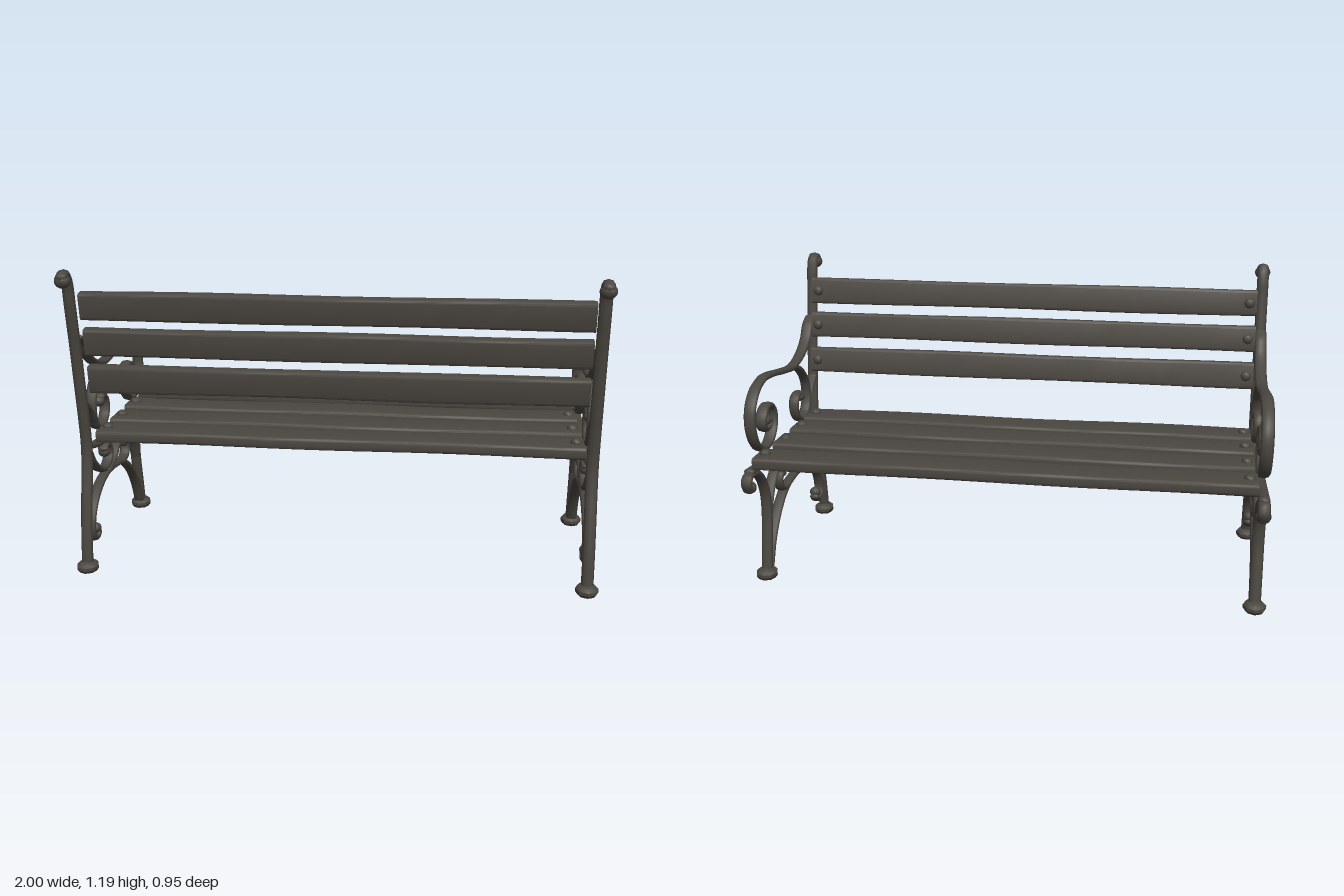
import * as THREE from 'three';
import { toCreasedNormals } from 'three/addons/utils/BufferGeometryUtils.js';

const darkIron = new THREE.MeshStandardMaterial({ color: 0x4a4640 });
darkIron.name = 'dark iron';

function add(parent, name, geometry, x = 0, y = 0, z = 0) {
  const mesh = new THREE.Mesh(geometry, darkIron);
  mesh.name = name;
  mesh.position.set(x, y, z);
  parent.add(mesh);
  return mesh;
}

// Oval iron bar along [z, y] points, wider in x, with rounded ends
function bar(parent, name, points, radius = 0.0125, width = 0.044, segments = points.length * 6) {
  const curve = new THREE.CatmullRomCurve3(points.map(([z, y]) => new THREE.Vector3(0, y, z)));
  const stretch = width / 2 / radius;
  add(parent, name, new THREE.TubeGeometry(curve, segments, radius, 8).scale(stretch, 1, 1));
  for (const [z, y] of [points[0], points[points.length - 1]]) {
    add(parent, name + 'End', new THREE.SphereGeometry(radius, 8, 6).scale(stretch, 1, 1), 0, y, z);
  }
}

// Bar whose last stretch curls round a solid eye
function scroll(parent, name, points, eye, eyeRadius = 0.022, radius, width) {
  bar(parent, name, points, radius, width);
  add(parent, name + 'Eye', new THREE.SphereGeometry(eyeRadius, 10, 8).scale(1.15, 1, 1), 0, eye[1], eye[0]);
}

// Flared eight-sided foot
function foot(parent, name, z) {
  const profile = [[0, 0], [0.038, 0], [0.047, 0.012], [0.047, 0.024], [0.034, 0.036], [0, 0.042]]
    .map(([r, y]) => new THREE.Vector2(r, y));
  const geometry = toCreasedNormals(new THREE.LatheGeometry(profile, 8), 0.6);
  add(parent, name, geometry.scale(0.92, 1, 1), 0, 0.005, z);
}

function sideFrame(x) {
  const g = new THREE.Group();
  g.name = x > 0 ? 'leftFrame' : 'rightFrame';
  g.position.x = x;

  // Rear post from foot to curled top
  scroll(g, 'rearPost', [[0.385, 0.03], [0.372, 0.15], [0.347, 0.29], [0.325, 0.39], [0.313, 0.49], [0.322, 0.6],
    [0.343, 0.75], [0.362, 0.89], [0.38, 1.0], [0.391, 1.07], [0.398, 1.12], [0.412, 1.16], [0.433, 1.177], [0.457, 1.167]],
  [0.447, 1.153], 0.027, 0.017, 0.046);
  foot(g, 'rearFoot', 0.383);

  // Front leg and curl under the seat edge
  scroll(g, 'frontLeg', [[-0.328, 0.03], [-0.307, 0.15], [-0.288, 0.27], [-0.293, 0.35], [-0.322, 0.415], [-0.37, 0.46],
    [-0.42, 0.475], [-0.455, 0.468], [-0.464, 0.445], [-0.452, 0.422]], [-0.44, 0.428], 0.025, 0.0145, 0.046);
  foot(g, 'frontFoot', -0.33);

  bar(g, 'seatRail', [[0.313, 0.49], [0.21, 0.468], [0.02, 0.459], [-0.17, 0.468], [-0.36, 0.48], [-0.43, 0.486]], 0.014);

  // Arch between the legs
  scroll(g, 'lowerArch', [[-0.307, 0.04], [-0.26, 0.142], [-0.186, 0.231], [-0.092, 0.294], [0.02, 0.316], [0.114, 0.318],
    [0.209, 0.294], [0.281, 0.247], [0.319, 0.193], [0.327, 0.14], [0.308, 0.111], [0.278, 0.106], [0.262, 0.122]],
  [0.277, 0.14]);
  scroll(g, 'rearBrace', [[0.313, 0.478], [0.272, 0.42], [0.209, 0.367], [0.145, 0.342], [0.098, 0.351], [0.07, 0.38],
    [0.076, 0.418], [0.107, 0.434], [0.13, 0.421]], [0.118, 0.406]);
  bar(g, 'frontBrace', [[0.098, 0.322], [0.035, 0.342], [-0.02, 0.386], [-0.09, 0.42], [-0.155, 0.42],
    [-0.215, 0.381], [-0.257, 0.326], [-0.285, 0.26]]);
  scroll(g, 'braceCurl', [[-0.08, 0.3], [-0.125, 0.31], [-0.146, 0.342], [-0.139, 0.373], [-0.118, 0.385]], [-0.117, 0.376]);

  // Armrest sweeping forward into a spiral
  scroll(g, 'armrest', [[0.338, 0.925], [0.298, 0.9], [0.262, 0.848], [0.193, 0.8], [0.082, 0.77], [-0.044, 0.782],
    [-0.17, 0.801], [-0.25, 0.803], [-0.329, 0.775], [-0.379, 0.72], [-0.389, 0.648], [-0.36, 0.579], [-0.303, 0.538],
    [-0.234, 0.538], [-0.18, 0.585], [-0.166, 0.642], [-0.187, 0.68], [-0.234, 0.69], [-0.272, 0.665], [-0.281, 0.627],
    [-0.259, 0.604], [-0.23, 0.61], [-0.222, 0.635]], [-0.247, 0.639], 0.024, 0.0125, 0.048);
  scroll(g, 'armSupport', [[0.082, 0.77], [0.161, 0.737], [0.222, 0.674], [0.234, 0.61], [0.209, 0.547], [0.145, 0.525],
    [0.092, 0.554], [0.079, 0.604], [0.098, 0.636], [0.135, 0.641]], [0.146, 0.625]);
  bar(g, 'supportBranch', [[0.32, 0.665], [0.272, 0.626], [0.234, 0.579], [0.2, 0.54]]);
  return g;
}

// Gently uneven plank with softened edges and a domed bolt at each end
function plank(name, y, z, tilt, depth, thickness, seed) {
  const g = new THREE.Group();
  g.name = name;
  const r = 0.012, w = depth / 2, h = thickness / 2;
  const s = new THREE.Shape();
  s.moveTo(-w + r, -h).lineTo(w - r, -h).quadraticCurveTo(w, -h, w, -h + r);
  s.lineTo(w, h - r).quadraticCurveTo(w, h, w - r, h);
  s.lineTo(-w + r, h).quadraticCurveTo(-w, h, -w, h - r);
  s.lineTo(-w, -h + r).quadraticCurveTo(-w, -h, -w + r, -h);
  const geometry = new THREE.ExtrudeGeometry(s, { depth: 1.87, steps: 20, bevelEnabled: false, curveSegments: 3 });
  geometry.translate(0, 0, -0.935).rotateY(Math.PI / 2);
  const p = geometry.attributes.position;
  for (let i = 0; i < p.count; i++) {
    const x = p.getX(i);
    p.setY(i, p.getY(i) + 0.002 * Math.sin(x * 6 + seed));
    p.setZ(i, p.getZ(i) * (1 + 0.03 * Math.sin(x * 5 + seed * 2)));
  }
  add(g, name + 'Board', toCreasedNormals(geometry, 0.7));
  for (const side of [-1, 1]) {
    add(g, name + 'Bolt', new THREE.SphereGeometry(0.022, 8, 6).scale(1, 0.8, 1), side * 0.905, h, 0);
  }
  g.position.set(0, y, z);
  g.rotation.x = tilt;
  return g;
}

export function createModel() {
  const bench = new THREE.Group();
  bench.name = 'parkBench';
  for (const side of [-1, 1]) bench.add(sideFrame(side * 0.957));

  // Seat planks, front to rear
  [[0.527, -0.387], [0.516, -0.168], [0.515, 0.02], [0.515, 0.2]]
    .forEach(([y, z], i) => bench.add(plank('seatPlank', y, z, 0, 0.137, 0.046, i * 1.7)));

  // Backrest planks, bolts facing the sitter
  [[1.045, 0.337], [0.903, 0.311], [0.755, 0.284]]
    .forEach(([y, z], i) => bench.add(plank('backPlank', y, z, -Math.PI / 2 + 0.14, 0.106, 0.046, 5 + i * 2.1)));
  return bench;
}
